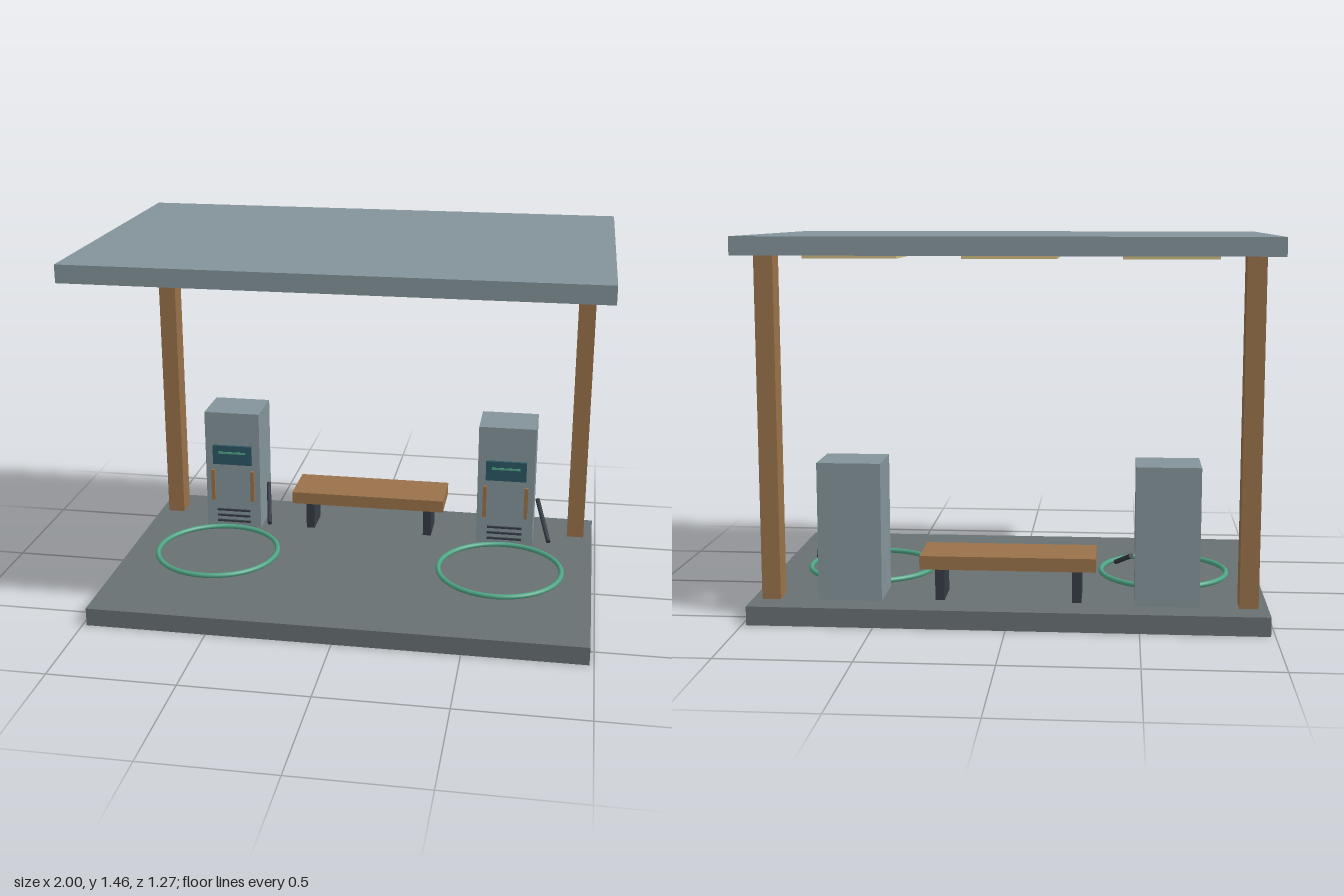
import * as THREE from 'three';

const mat = (color) => new THREE.MeshStandardMaterial({ color });

export function createModel() {
  const steel = mat(0x84949b), concrete = mat(0x687173), wood = mat(0x99724a);
  const dark = mat(0x363c44), screenBlue = mat(0x2c5663), green = mat(0x4fa585), lamp = mat(0xcdb880);

  const root = new THREE.Group();
  root.name = 'fuelStation';

  // Box given by its min and max corners
  function box(parent, name, material, [x0, y0, z0], [x1, y1, z1]) {
    const mesh = new THREE.Mesh(new THREE.BoxGeometry(x1 - x0, y1 - y0, z1 - z0), material);
    mesh.position.set((x0 + x1) / 2, (y0 + y1) / 2, (z0 + z1) / 2);
    mesh.name = name;
    parent.add(mesh);
    return mesh;
  }

  // Round bar between two points
  function rod(parent, name, material, a, b, radius) {
    const dir = b.clone().sub(a);
    const mesh = new THREE.Mesh(new THREE.CylinderGeometry(radius, radius, dir.length(), 12), material);
    mesh.position.copy(a).add(b).multiplyScalar(0.5);
    mesh.quaternion.setFromUnitVectors(new THREE.Vector3(0, 1, 0), dir.normalize());
    mesh.name = name;
    parent.add(mesh);
  }

  // Ground slab and canopy
  box(root, 'groundSlab', concrete, [-0.983, 0, -0.607], [0.983, 0.073, 0.607]);
  box(root, 'canopyRoof', steel, [-1, 1.392, -0.635], [1, 1.461, 0.635]);
  for (const x of [-0.605, 0, 0.605]) {
    box(root, 'ceilingLight', lamp, [x - 0.18, 1.374, -0.408], [x + 0.18, 1.386, 0.408]);
  }

  // Posts at the rear corners
  for (const x of [-0.91, 0.91]) {
    box(root, 'post', wood, [x - 0.036, 0.07, -0.5], [x + 0.036, 1.393, -0.41]);
  }

  // Bench
  const bench = new THREE.Group();
  bench.name = 'bench';
  root.add(bench);
  box(bench, 'benchSeat', wood, [-0.335, 0.203, -0.505], [0.335, 0.255, -0.281]);
  for (const x of [-0.262, 0.262]) {
    box(bench, 'benchLeg', dark, [x - 0.018, 0.07, -0.465], [x + 0.018, 0.204, -0.32]);
  }

  // Two pumps, each with a ring on the ground in front
  for (const x of [-0.604, 0.604]) {
    const pump = new THREE.Group();
    pump.name = 'pump';
    pump.position.x = x;
    root.add(pump);
    box(pump, 'pumpBody', steel, [-0.122, 0.07, -0.496], [0.122, 0.607, -0.286]);
    box(pump, 'pumpScreen', screenBlue, [-0.087, 0.37, -0.29], [0.087, 0.457, -0.273]);
    box(pump, 'screenStripe', green, [-0.061, 0.421, -0.275], [0.061, 0.43, -0.27]);
    for (const s of [-0.089, 0.089]) {
      box(pump, 'woodGrip', wood, [s - 0.008, 0.2, -0.29], [s + 0.008, 0.341, -0.27]);
    }
    for (const y of [0.098, 0.124, 0.15]) {
      box(pump, 'ventSlat', dark, [-0.075, y - 0.004, -0.29], [0.075, y + 0.004, -0.278]);
    }
    rod(pump, 'nozzle', dark, new THREE.Vector3(0.136, 0.244, -0.396), new THREE.Vector3(0.194, 0.156, -0.152), 0.0095);

    const ring = new THREE.Mesh(new THREE.TorusGeometry(0.256, 0.0105, 10, 48), green);
    ring.rotation.x = Math.PI / 2;
    ring.position.set(x, 0.083, 0.002);
    ring.name = 'groundRing';
    root.add(ring);
  }

  return root;
}
